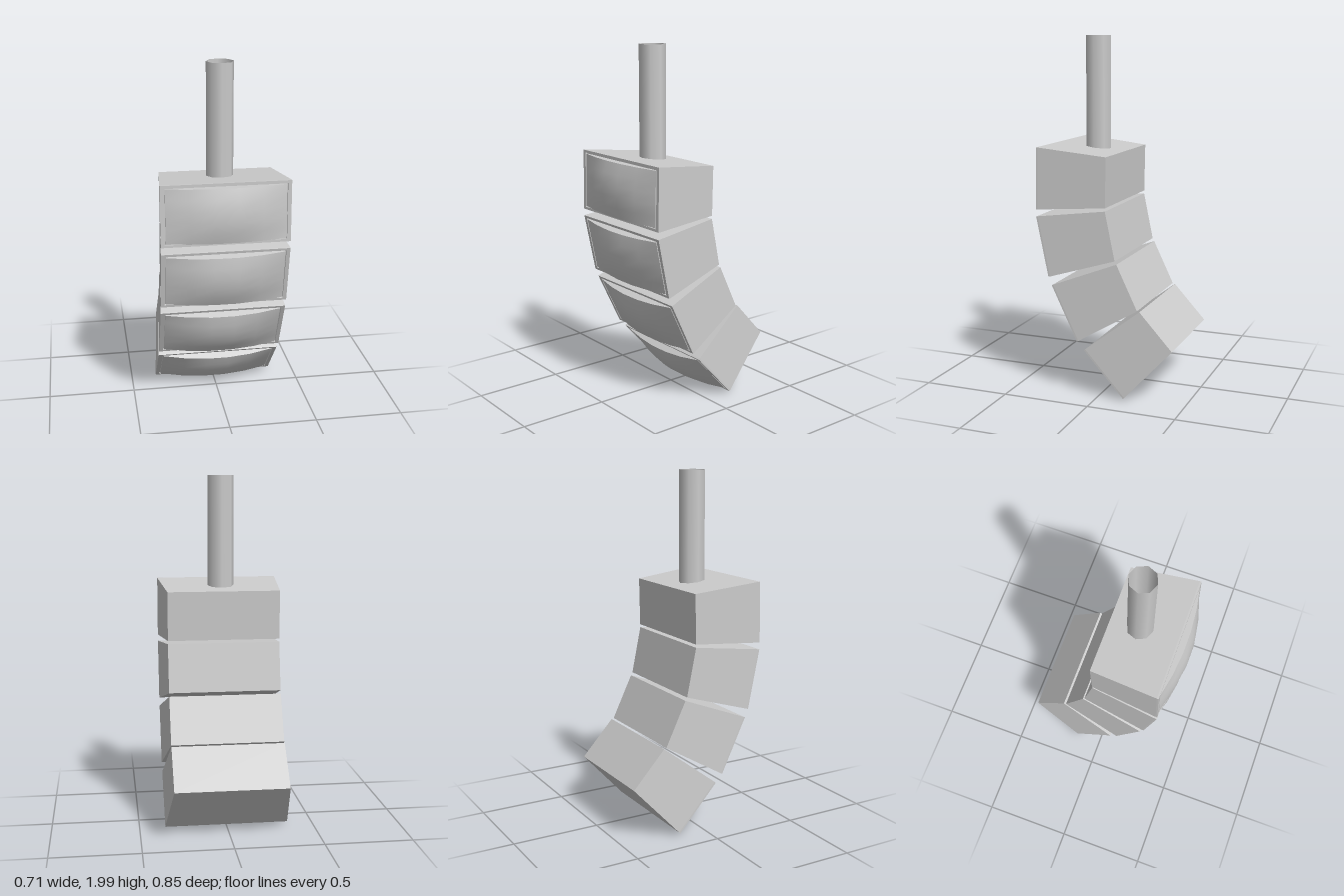
import * as THREE from 'three';

const material = new THREE.MeshStandardMaterial({ color: 0xcccccc });
const FRONT_W = 0.708, BACK_W = 0.64, FRONT_H = 0.344, BACK_H = 0.278, DEPTH = 0.397, RIM = 0.01;

function part(name, geometry, mat = material) {
  const mesh = new THREE.Mesh(geometry, mat);
  mesh.name = name;
  return mesh;
}

// Apply a rule to every vertex of a geometry
function reshape(geometry, rule) {
  const p = geometry.attributes.position;
  const v = new THREE.Vector3();
  for (let i = 0; i < p.count; i++) {
    rule(v.fromBufferAttribute(p, i));
    p.setXYZ(i, v.x, v.y, v.z);
  }
  geometry.computeVertexNormals();
  return geometry;
}

// Wedge box that narrows towards the back; local z = 0 is the front plane
function bodyGeometry() {
  const g = new THREE.BoxGeometry(1, 1, 1);
  return reshape(g, (v) => {
    const front = v.z > 0;
    v.x *= front ? FRONT_W : BACK_W;
    v.y *= front ? FRONT_H : BACK_H;
    v.z = front ? -RIM : -DEPTH;
  });
}

// Thin raised rim around the front opening
function rimGeometry() {
  const rect = (target, w, h) => {
    target.moveTo(-w, -h);
    target.lineTo(w, -h);
    target.lineTo(w, h);
    target.lineTo(-w, h);
    target.closePath();
    return target;
  };
  const shape = rect(new THREE.Shape(), FRONT_W / 2, FRONT_H / 2);
  shape.holes.push(rect(new THREE.Path(), 0.333, 0.158));
  return new THREE.ExtrudeGeometry(shape, { depth: RIM, bevelEnabled: false }).translate(0, 0, -RIM);
}

// Grille bulging in both directions, flush with the rim at its sides
function grilleGeometry() {
  const w = 0.327, h = 0.152;
  const g = new THREE.BoxGeometry(2 * w, 2 * h, 1, 5, 5, 1);
  return reshape(g, (v) => {
    const u = v.x / w, t = v.y / h;
    v.z = v.z > 0 ? (1 - u * u) * (0.038 + 0.031 * (1 - t * t)) : -RIM;
  });
}

export function createModel() {
  const model = new THREE.Group();
  model.name = 'hangingSpeakerArray';

  // Cabinets along a curve: front centre y, front centre z, downward pitch in degrees
  const places = [
    [1.225, 0.3585, -1.1],
    [0.844, 0.3255, 11.7],
    [0.4735, 0.196, 25.7],
    [0.1455, -0.037, 42.5],
  ];
  const body = bodyGeometry(), rim = rimGeometry(), grille = grilleGeometry();
  places.forEach(([y, z, pitch], i) => {
    const cabinet = new THREE.Group();
    cabinet.name = `cabinet${i + 1}`;
    cabinet.add(part('cabinetBody', body), part('frontRim', rim), part('grille', grille));
    cabinet.position.set(0, y, z);
    cabinet.rotation.x = THREE.MathUtils.degToRad(pitch);
    model.add(cabinet);
  });

  // Open mounting tube above the top cabinet
  const tubeMaterial = new THREE.MeshStandardMaterial({ color: 0xcccccc, side: THREE.DoubleSide });
  const tube = part('mountingTube', new THREE.CylinderGeometry(0.075, 0.075, 0.635, 8, 1, true), tubeMaterial);
  tube.position.set(0, 2 - 0.635 / 2, 0.128);
  model.add(tube);

  return model;
}
